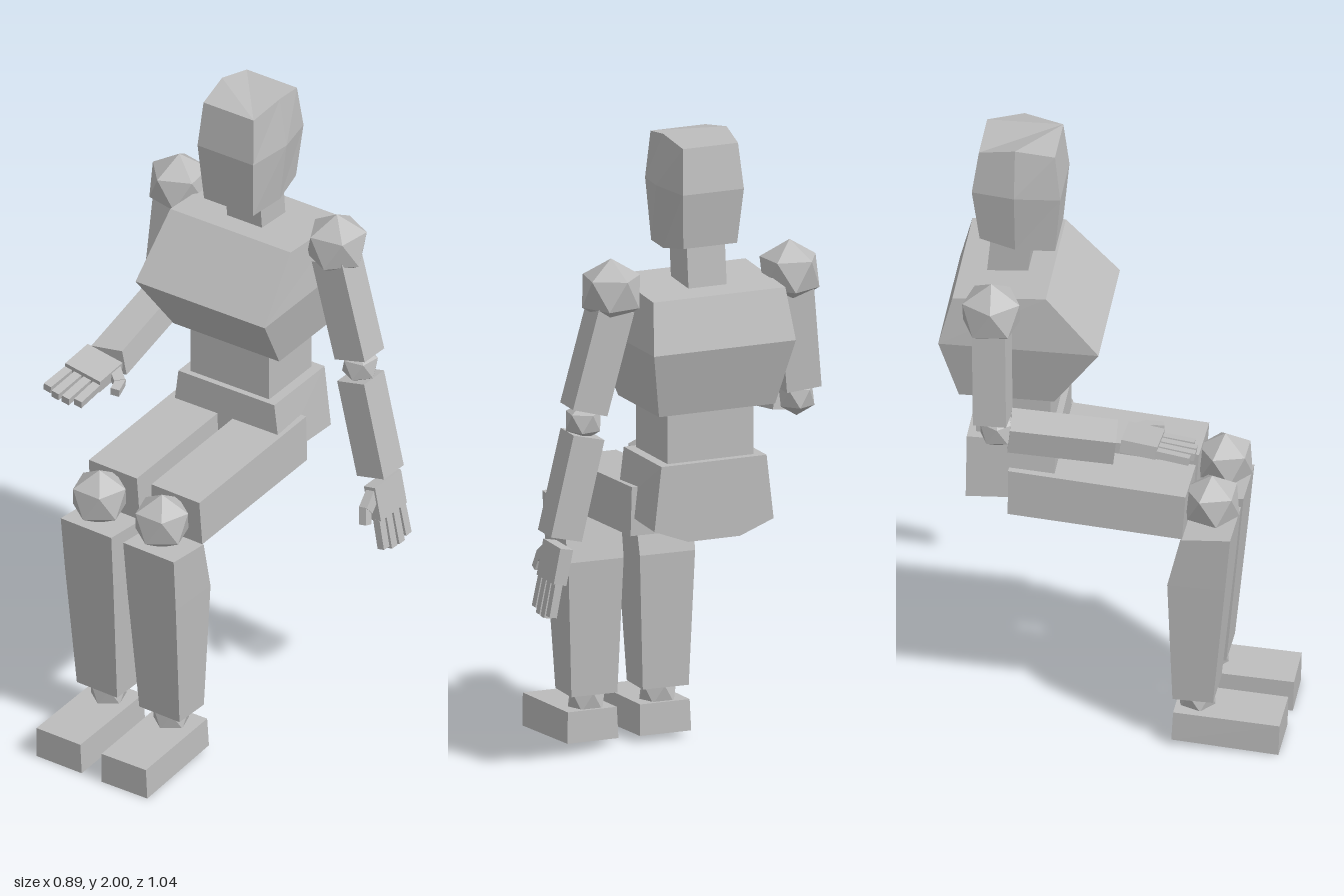
import * as THREE from 'three';

const grey = new THREE.MeshStandardMaterial({ color: 0xbcbcbc, flatShading: true });
grey.name = 'plain grey';

const V = (a) => new THREE.Vector3(...a);

function add(parent, name, geometry) {
  const mesh = new THREE.Mesh(geometry, grey);
  mesh.name = name;
  parent.add(mesh);
  return mesh;
}

function group(parent, name) {
  const g = new THREE.Group();
  g.name = name;
  parent.add(g);
  return g;
}

// Faceted solid through convex rings, listed from bottom to top
function loft(parent, name, rings) {
  const out = [];
  const tri = (...pts) => pts.forEach((p) => out.push(...p));
  const n = rings[0].length;
  for (let k = 0; k + 1 < rings.length; k++) {
    const lo = rings[k], hi = rings[k + 1];
    for (let i = 0; i < n; i++) {
      const j = (i + 1) % n;
      tri(lo[i], lo[j], hi[j]);
      tri(lo[i], hi[j], hi[i]);
    }
  }
  const bottom = rings[0], top = rings[rings.length - 1];
  for (let i = 1; i + 1 < n; i++) {
    tri(bottom[0], bottom[i + 1], bottom[i]);
    tri(top[0], top[i], top[i + 1]);
  }
  const geometry = new THREE.BufferGeometry();
  geometry.setAttribute('position', new THREE.Float32BufferAttribute(out, 3));
  geometry.computeVertexNormals();
  return add(parent, name, geometry);
}

// Rectangular ring: half width, front (y, z) and back (y, z)
const rect = (w, yf, zf, yb, zb) => [[w, yf, zf], [w, yb, zb], [-w, yb, zb], [-w, yf, zf]];

// Box running from a to b
function beam(parent, name, a, b, width, depth) {
  const start = V(a), dir = V(b).sub(start);
  const mesh = add(parent, name, new THREE.BoxGeometry(width, dir.length(), depth));
  mesh.position.copy(start).addScaledVector(dir, 0.5);
  mesh.quaternion.setFromUnitVectors(new THREE.Vector3(0, -1, 0), dir.normalize());
  return mesh;
}

// Ball joint with a corner pointing up
function joint(parent, name, pos, radius, turn = 0) {
  const geometry = new THREE.IcosahedronGeometry(radius, 0);
  geometry.rotateZ(-Math.atan(2 / (1 + Math.sqrt(5))));
  geometry.rotateY(turn);
  add(parent, name, geometry).position.set(...pos);
}

// Hand hanging down -y, thumb on +z, back of the hand on +x
function hand(parent, name) {
  const g = group(parent, name);
  beam(g, 'palm', [0, 0, 0], [0, -0.11, 0], 0.042, 0.13);
  [0.095, 0.108, 0.11, 0.1].forEach((length, i) => {
    const z = 0.052 - i * 0.0347;
    beam(g, 'finger', [0.004, -0.108, z], [0.004, -0.11 - length, z * 1.06], 0.024, 0.027);
  });
  beam(g, 'thumbBase', [0, -0.022, 0.052], [0, -0.06, 0.1], 0.03, 0.034);
  beam(g, 'thumbTip', [0, -0.048, 0.098], [0, -0.1, 0.113], 0.026, 0.028);
  return g;
}

function buildTorso(model) {
  const torso = group(model, 'torso');
  torso.position.set(-0.065, 0, -0.3);
  torso.rotation.y = 0.036;

  // Head with cheeks and crown pushed out along the middle
  const headRing = (wEnd, wMid, yf, ym, yb, zf, zb) => [
    [wEnd, yf, zf], [wMid, ym, 0], [wEnd, yb, zb],
    [-wEnd, yb, zb], [-wMid, ym, 0], [-wEnd, yf, zf],
  ];
  loft(torso, 'head', [
    headRing(0.088, 0.104, 1.645, 1.65, 1.67, 0.118, -0.108),
    headRing(0.1, 0.128, 1.835, 1.845, 1.84, 0.135, -0.13),
    headRing(0.09, 0.104, 1.98, 2.0, 1.977, 0.118, -0.11),
  ]);
  const neck = beam(torso, 'neck', [0, 1.68, -0.015], [0, 1.5, -0.032], 0.125, 0.122);
  neck.castShadow = false;

  loft(torso, 'chest', [
    rect(0.19, 1.177, 0.13, 1.177, -0.156),
    rect(0.232, 1.38, 0.268, 1.38, -0.212),
    rect(0.216, 1.557, 0.108, 1.535, -0.172),
  ]);
  beam(torso, 'waist', [0, 1.2, 0], [0, 1.0, 0], 0.282, 0.222);
  loft(torso, 'pelvis', [
    rect(0.085, 0.775, 0.02, 0.778, -0.135),
    rect(0.195, 0.835, 0.13, 0.82, -0.135),
    rect(0.172, 1.017, 0.13, 1.017, -0.135),
  ]);
}

function buildArms(model) {
  // Left arm hangs at the side
  const left = group(model, 'leftArm');
  joint(left, 'shoulder', [0.222, 1.545, -0.34], 0.1, 0.5);
  beam(left, 'upperArm', [0.222, 1.5, -0.338], [0.308, 1.19, -0.336], 0.115, 0.098);
  joint(left, 'elbow', [0.31, 1.155, -0.336], 0.06, 0.5);
  beam(left, 'forearm', [0.312, 1.115, -0.336], [0.385, 0.81, -0.336], 0.102, 0.1);
  const leftHand = hand(left, 'leftHand');
  leftHand.position.set(0.391, 0.785, -0.338);
  leftHand.rotation.z = 0.2;

  // Right arm bends forward with the palm up
  const right = group(model, 'rightArm');
  joint(right, 'shoulder', [-0.355, 1.545, -0.335], 0.1, -0.5);
  beam(right, 'upperArm', [-0.358, 1.5, -0.333], [-0.386, 1.19, -0.325], 0.112, 0.1);
  joint(right, 'elbow', [-0.388, 1.155, -0.31], 0.06, -0.5);
  beam(right, 'forearm', [-0.38, 1.148, -0.275], [-0.34, 1.115, 0.037], 0.106, 0.085);
  const rightHand = hand(right, 'rightHand');
  rightHand.position.set(-0.337, 1.135, 0.062);
  const fingers = V([-0.02, -0.12, 1]).normalize();
  const thumbSide = V([1, -0.14, 0]).addScaledVector(fingers, 0.037).normalize();
  const wristward = fingers.clone().negate();
  const back = wristward.clone().cross(thumbSide).normalize();
  rightHand.quaternion.setFromRotationMatrix(
    new THREE.Matrix4().makeBasis(back, wristward, back.clone().cross(wristward)));
}

function buildLeg(model, name, x, yaw) {
  const leg = group(model, name);
  leg.position.x = x;

  // Thigh runs forward from the hip
  loft(leg, 'thigh', [
    rect(0.092, 0.745, 0.225, 0.775, -0.3),
    rect(0.088, 0.893, 0.235, 0.925, -0.3),
  ]);
  joint(leg, 'knee', [-0.002, 0.83, 0.3], 0.092, Math.PI / 2);

  // Shin with a calf corner at the back
  loft(leg, 'shin', [
    rect(0.074, 0.16, 0.315, 0.16, 0.193),
    rect(0.089, 0.575, 0.354, 0.575, 0.18),
    rect(0.093, 0.755, 0.37, 0.742, 0.22),
  ]);
  joint(leg, 'ankle', [0, 0.135, 0.255], 0.062, Math.PI / 2);

  const foot = group(leg, 'foot');
  foot.rotation.y = yaw;
  loft(foot, 'sole', [
    rect(0.083, 0, 0.512, 0.02, 0.19),
    rect(0.08, 0.1, 0.515, 0.115, 0.195),
  ]);
}

export function createModel() {
  const model = new THREE.Group();
  model.name = 'seatedFigure';
  buildTorso(model);
  buildArms(model);
  buildLeg(model, 'leftLeg', 0.05, 0.03);
  buildLeg(model, 'rightLeg', -0.18, 0.01);
  return model;
}
